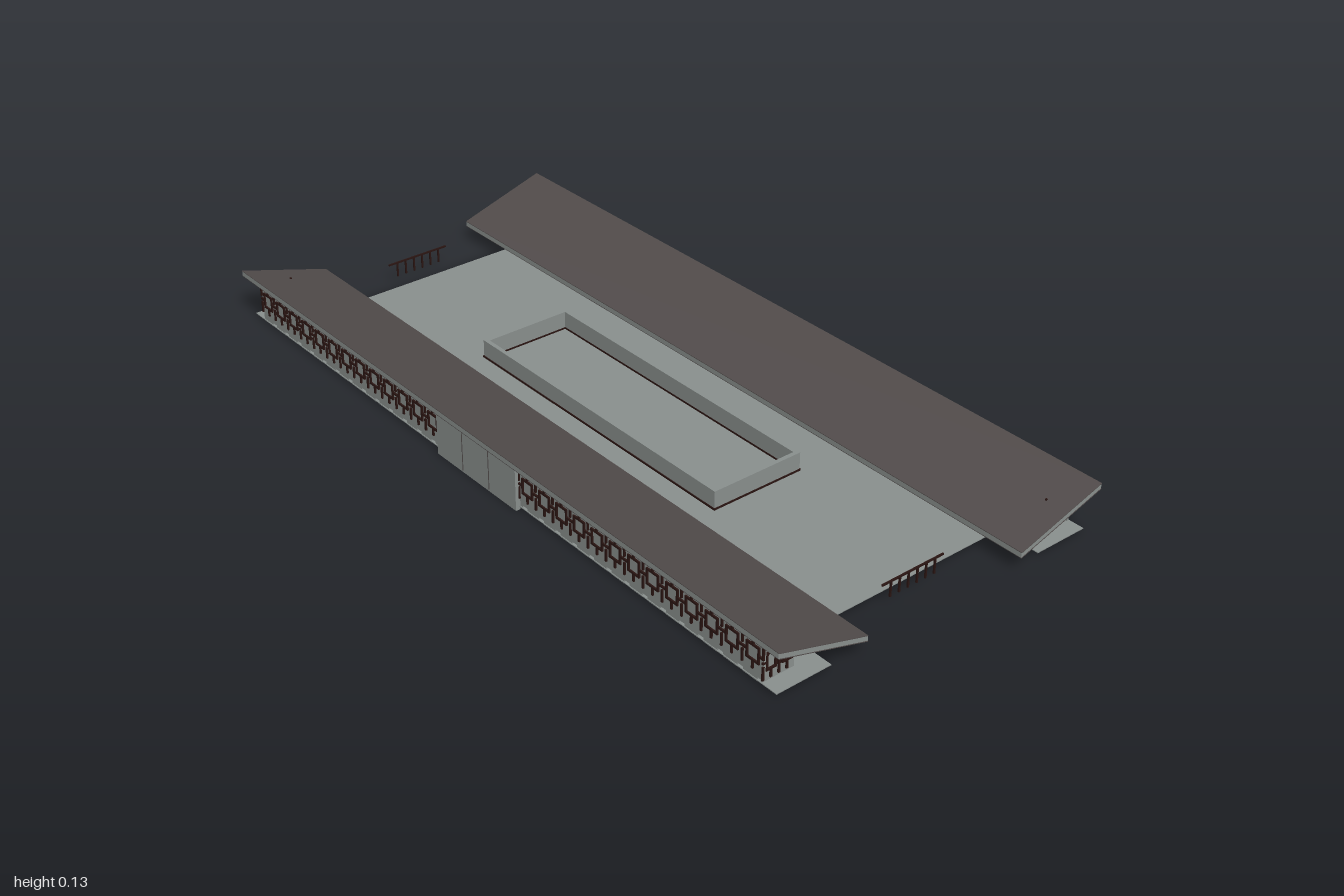
import * as THREE from 'three';
import { mergeGeometries } from 'three/addons/utils/BufferGeometryUtils.js';

const mat = (name, color) => Object.assign(new THREE.MeshStandardMaterial({ color }), { name });

// box geometry from its lowest and highest corners
function box(x0, x1, y0, y1, z0, z1) {
  return new THREE.BoxGeometry(x1 - x0, y1 - y0, z1 - z0)
    .translate((x0 + x1) / 2, (y0 + y1) / 2, (z0 + z1) / 2);
}

// prism with a (z, y) outline, running along x from x0 to x1
function prism(points, x0, x1) {
  const shape = new THREE.Shape(points.map(([z, y]) => new THREE.Vector2(-z, y)));
  return new THREE.ExtrudeGeometry(shape, { depth: x1 - x0, bevelEnabled: false })
    .rotateY(Math.PI / 2).translate(x0, 0, 0);
}

// staggered square lattice in the xy plane, as flat bars facing +z
function lattice(x0, x1, y0, y1, cells) {
  const bars = [], w = (x1 - x0) / cells, h = y1 - y0, t = 0.0024;
  const bar = (ax, bx, ay, by) => bars.push(box(ax - t, bx + t, ay - t, by + t, 0, 0.004));
  for (let i = 0; i < cells; i++) {
    const a = x0 + i * w, cx = a + w / 2;
    const l = a + w * 0.22, r = a + w * 0.78, b = y0 + h * 0.25, u = y0 + h * 0.75;
    // central square
    bar(l, r, b, b); bar(l, r, u, u);
    bar(l, l, b, u); bar(r, r, b, u);
    // arms to the neighbours
    bar(a, l, y0 + h / 2, y0 + h / 2); bar(r, a + w, y0 + h / 2, y0 + h / 2);
    bar(cx, cx, u, y1); bar(cx, cx, y0, b);
    // short hooks between squares
    bar(a, a, y0 + h * 0.64, y1); bar(a, a, y0, y0 + h * 0.36);
  }
  return mergeGeometries(bars);
}

export function createModel() {
  const model = new THREE.Group();
  const stone = mat('grey stone', 0x8a908e);
  const tile = mat('dark roof', 0x524c4b);
  const wood = mat('dark wood', 0x2a1512);

  const add = (parent, name, geometry, material) => {
    const mesh = new THREE.Mesh(geometry, material);
    mesh.name = name;
    parent.add(mesh);
    return mesh;
  };

  // one long gallery on the +z side
  function gallery(name, hasEntrance) {
    const g = new THREE.Group();
    g.name = name;
    const roofY = z => 0.05 + (z - 0.222) * 0.305;

    // sloping roof: grey slab with dark sheets above and below
    const slope = (lo, hi) => [[0.222, roofY(0.222) + lo], [0.462, roofY(0.462) + lo],
      [0.462, roofY(0.462) + hi], [0.222, roofY(0.222) + hi]];
    add(g, 'roofSlab', prism(slope(-0.0095, 0.0025), -0.999, 0.999), stone);
    add(g, 'roofCovering', prism(slope(0.0025, 0.004), -1, 1), tile);
    add(g, 'roofSoffit', prism(slope(-0.011, -0.0095), -1, 1), tile);

    // floor strip
    add(g, 'galleryFloor', box(-0.98, 0.98, 0.007, 0.009, 0.3, 0.445), stone);

    // long outer wall with feet
    add(g, 'outerWall', box(-0.94, 0.94, 0.014, 0.108, 0.438, 0.443), stone);
    const feet = [];
    for (let i = 0; i < 32; i++) {
      const x = -0.94 + i * 1.88 / 32;
      feet.push(box(x, x + 0.042, 0.004, 0.014, 0.438, 0.443));
    }
    add(g, 'wallFeet', mergeGeometries(feet), stone);

    // lattice screens
    const spans = hasEntrance ? [[-0.94, -0.15, 13], [0.15, 0.94, 13]] : [[-0.94, 0.94, 31]];
    for (const [a, b, n] of spans)
      add(g, 'latticeScreen', lattice(a, b, 0.032, 0.104, n), wood).position.z = 0.443;
    if (hasEntrance) {
      add(g, 'entranceWall', box(-0.15, 0.15, 0, 0.111, 0.443, 0.455), stone);
      add(g, 'entranceJoints', mergeGeometries([-0.05, 0.05].map(x =>
        box(x - 0.001, x + 0.001, 0.005, 0.108, 0.455, 0.456))), tile);
    }

    // low inner wall with posts and rails
    add(g, 'innerWall', box(-0.9, 0.9, 0.008, 0.052, 0.268, 0.272), stone);
    const frame = [box(-0.9, 0.9, 0.012, 0.016, 0.264, 0.268), box(-0.9, 0.9, 0.042, 0.046, 0.264, 0.268)];
    for (let i = 0; i <= 30; i++) {
      const x = -0.9 + i * 0.06;
      frame.push(box(x - 0.003, x + 0.003, 0.008, 0.052, 0.264, 0.268));
    }
    add(g, 'innerFrame', mergeGeometries(frame), wood);

    // end walls with lattice, mirrored
    for (const s of [-1, 1]) {
      const at = (a, b) => s > 0 ? [a, b] : [-b, -a];
      add(g, 'endWall', prism([[0.36, 0.008], [0.443, 0.008], [0.443, roofY(0.443) - 0.01],
        [0.36, roofY(0.36) - 0.01]], ...at(0.932, 0.937)), stone);
      add(g, 'endRecess', prism([[0.268, 0.008], [0.36, 0.008], [0.36, roofY(0.36) - 0.01],
        [0.268, roofY(0.268) - 0.01]], ...at(0.895, 0.9)), stone);
      const screen = add(g, 'endLattice', lattice(-0.042, 0.042, 0.018, 0.096, 2), wood);
      screen.rotation.y = s * Math.PI / 2;
      screen.position.set(s * 0.937, 0, 0.402);
      const rails = [0.022, 0.042].map(y => box(...at(0.9, 0.904), y, y + 0.005, 0.266, 0.36));
      for (const z of [0.268, 0.288, 0.315, 0.345])
        rails.push(box(...at(0.9, 0.904), 0.008, 0.052, z - 0.003, z + 0.003));
      add(g, 'endRails', mergeGeometries(rails), wood);
    }
    model.add(g);
    return g;
  }
  gallery('frontGallery', true);
  gallery('backGallery', false).rotation.y = Math.PI;

  // courtyard paving
  add(model, 'courtyard', box(-0.87, 0.87, 0.007, 0.009, -0.3, 0.3), stone);

  // rectangular ring of four bars
  const ring = (X, Z, t, y0, y1) => mergeGeometries([
    box(-X, X, y0, y1, Z - t, Z), box(-X, X, y0, y1, -Z, t - Z),
    box(X - t, X, y0, y1, t - Z, Z - t), box(-X, t - X, y0, y1, t - Z, Z - t)]);
  add(model, 'basinWall', ring(0.43, 0.126, 0.011, 0.007, 0.057), stone);
  add(model, 'basinLowerBand', ring(0.432, 0.128, 0.014, 0.003, 0.007), wood);
  add(model, 'basinUpperBand', ring(0.432, 0.128, 0.014, 0.0095, 0.014), wood);

  // side railings
  for (const s of [-1, 1]) {
    const x = s * 0.904, parts = [box(x - 0.002, x + 0.002, 0.057, 0.061, -0.088, 0.09)];
    for (let i = 0; i < 6; i++) {
      const z = -0.064 + i * 0.0256;
      parts.push(box(x - 0.002, x + 0.002, 0.02, 0.057, z - 0.002, z + 0.002));
    }
    add(model, 'sideRailing', mergeGeometries(parts), wood);
  }
  return model;
}
